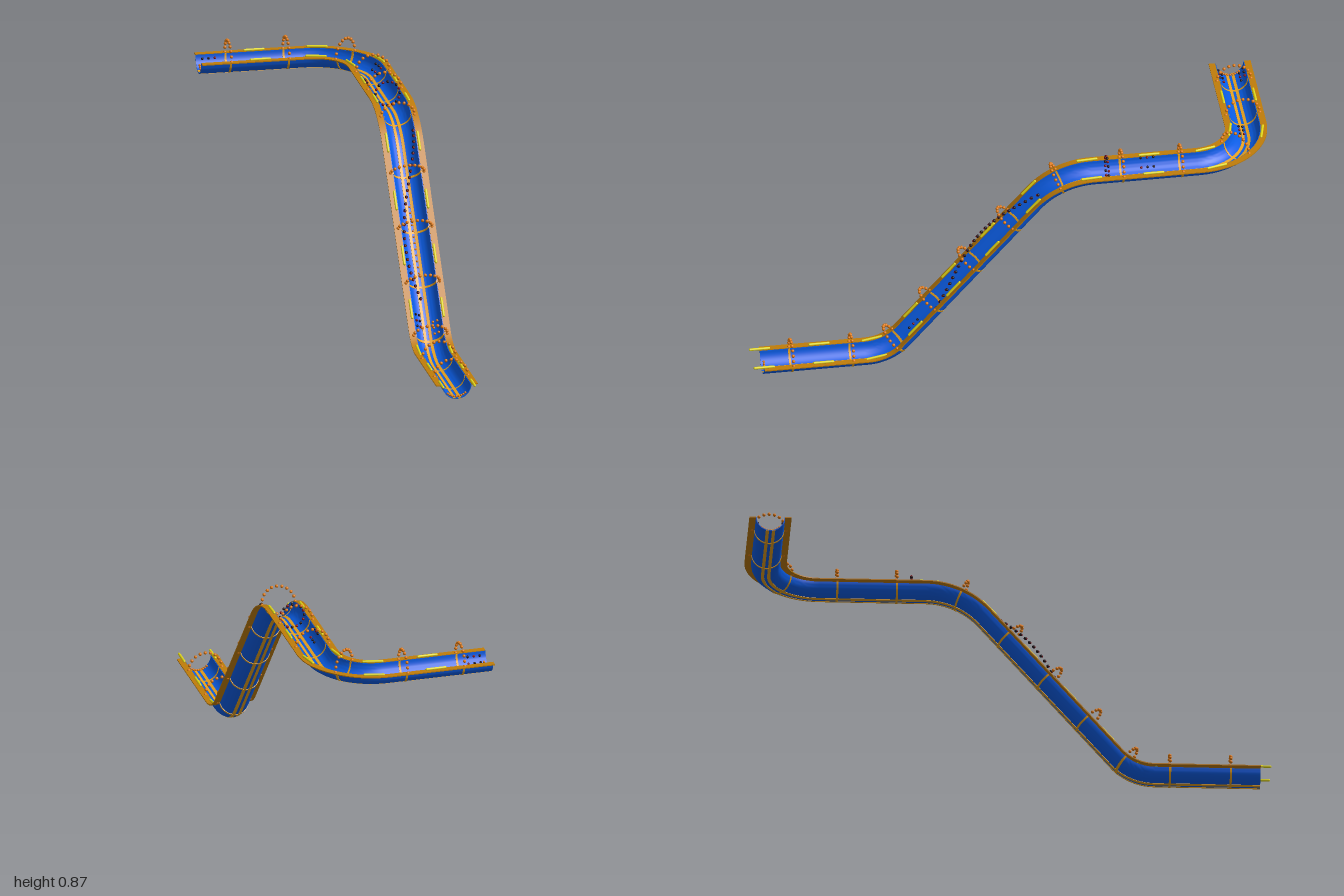
import * as THREE from 'three';
import { mergeGeometries, toCreasedNormals } from 'three/addons/utils/BufferGeometryUtils.js';

const mat = (name, color) => Object.assign(new THREE.MeshStandardMaterial({ color }), { name });
const V = (x, y, z) => new THREE.Vector3(x, y, z);

// Rim-level centre line: straight runs joined by circular bends
const CX = 0.267;
function buildPath() {
  const corners = [V(CX, 0.057, 0.96), V(CX, 0.057, 0.485), V(CX, 0.802, -0.161), V(CX, 0.802, -0.92), V(-0.349, 0.802, -0.92)];
  const trims = [0, 0.075, 0.145, 0.21, 0];
  const path = [];
  const add = (p, t) => {
    const last = path[path.length - 1];
    path.push({ p, t, s: last ? last.s + last.p.distanceTo(p) : 0 });
  };
  const dir = (i) => corners[i + 1].clone().sub(corners[i]).normalize();
  add(corners[0], dir(0));
  for (let i = 1; i < 4; i++) {
    const a = dir(i - 1), b = dir(i), angle = a.angleTo(b);
    const r = trims[i] / Math.tan(angle / 2);
    const n = b.clone().addScaledVector(a, -a.dot(b)).normalize();
    const start = corners[i].clone().addScaledVector(a, -trims[i]);
    for (let k = 0; k <= 16; k++) {
      const f = (angle * k) / 16;
      add(start.clone().addScaledVector(a, r * Math.sin(f)).addScaledVector(n, r * (1 - Math.cos(f))),
        a.clone().multiplyScalar(Math.cos(f)).addScaledVector(n, Math.sin(f)));
    }
  }
  add(corners[4], dir(3));
  return path;
}

const path = buildPath();
const L = path[path.length - 1].s;

// Frame at distance s: position, tangent, sideways and up directions
function frame(s) {
  let i = 0;
  while (i < path.length - 2 && path[i + 1].s < s) i++;
  const a = path[i], b = path[i + 1], k = (s - a.s) / (b.s - a.s);
  const p = a.p.clone().lerp(b.p, k);
  const t = a.t.clone().lerp(b.t, THREE.MathUtils.clamp(k, 0, 1)).normalize();
  const side = V(0, 1, 0).cross(t).normalize();
  return { p, t, side, up: t.clone().cross(side) };
}

function place(s, u, v) {
  const f = frame(s);
  return f.p.addScaledVector(f.side, u).addScaledVector(f.up, v);
}

// Distance along the path nearest a given x and z
function near(x, z) {
  let best = 0, d = Infinity;
  for (let s = 0; s <= L; s += 0.002) {
    const p = frame(s).p, e = Math.hypot(p.x - x, p.z - z);
    if (e < d) { d = e; best = s; }
  }
  return best;
}

// Sweep a counter-clockwise closed profile along the path, with end caps
function sweep(profile, s0, s1) {
  const stops = [s0, ...path.map((q) => q.s).filter((s) => s > s0 + 1e-5 && s < s1 - 1e-5), s1];
  const n = profile.length, pos = [], idx = [];
  for (const s of stops) for (const [u, v] of profile) pos.push(...place(s, u, v).toArray());
  for (let i = 0; i < stops.length - 1; i++) {
    for (let j = 0; j < n; j++) {
      const a = i * n + j, b = i * n + ((j + 1) % n);
      idx.push(a, b, b + n, a, b + n, a + n);
    }
  }
  const end = (stops.length - 1) * n;
  const caps = THREE.ShapeUtils.triangulateShape(profile.map(([u, v]) => new THREE.Vector2(u, v)), []);
  for (const [a, b, c] of caps) idx.push(a, c, b, end + a, end + b, end + c);
  const g = new THREE.BufferGeometry();
  g.setAttribute('position', new THREE.Float32BufferAttribute(pos, 3));
  g.setIndex(idx);
  return toCreasedNormals(g, 0.6);
}

// Band of a ring between two radii and two angles
function band(r0, r1, a0, a1, steps) {
  const arc = (r) => Array.from({ length: steps + 1 }, (_, i) => {
    const a = a0 + ((a1 - a0) * i) / steps;
    return [r * Math.cos(a), r * Math.sin(a)];
  });
  return [...arc(r1), ...arc(r0).reverse()];
}

const bead = (p, r) => new THREE.SphereGeometry(r, 10, 8).translate(p.x, p.y, p.z);

export function createModel() {
  const group = new THREE.Group();
  const blue = mat('slide blue', 0x0a5ce4);
  const bronze = mat('rim bronze', 0xc07d0a);
  const gold = mat('trim gold', 0xf0a822);
  const orange = mat('bead orange', 0xde780f);
  const yellow = mat('light yellow', 0xe4da18);
  const black = mat('bead black', 0x1c1018);
  const red = mat('bead dark red', 0x7d0f1c);
  const put = (name, geometries, material) => {
    const m = new THREE.Mesh(mergeGeometries(geometries), material);
    m.name = name;
    group.add(m);
  };

  // Half-round channel
  put('channel', [sweep(band(0.0525, 0.0555, Math.PI, 2 * Math.PI, 24), 0, L)], blue);

  // Flat flanges on both rims
  put('rimFlanges', [-1, 1].map((k) => {
    const c = k * 0.0675, h = 0.0125;
    return sweep([[c - h, -0.002], [c + h, -0.002], [c + h, 0.002], [c - h, 0.002]], 0, L);
  }), bronze);

  // Twin stripes along the floor, showing inside and outside
  put('floorStripes', [-1, 1].map((k) => {
    const a = 1.5 * Math.PI + k * 0.21;
    return sweep(band(0.0508, 0.0568, a - 0.11, a + 0.11, 3), 0, L);
  }), gold);

  // Stations of the ribs and bead arches, as x and z on the centre line
  const stations = [
    ...[0.848, 0.618, 0.452, 0.308, 0.16, 0.01, -0.172, -0.415, -0.642].map((z) => [CX, z]),
    [0.205, -0.858], [-0.01, -0.92], [-0.235, -0.92],
  ].map(([x, z]) => near(x, z));
  const ribs = [], arches = [];
  for (const s of stations) {
    ribs.push(sweep(band(0.0512, 0.0573, Math.PI, 2 * Math.PI, 24), s - 0.004, s + 0.004));
    for (let k = 0; k <= 10; k++) {
      const a = (Math.PI * k) / 10;
      arches.push(bead(place(s, 0.065 * Math.cos(a), 0.065 * Math.sin(a) + 0.001), 0.0063));
    }
  }
  put('ribs', ribs, gold);
  put('beadArches', arches, orange);

  // Capsule lights lying on the rims midway between arches
  const lights = [];
  stations.forEach((station, i) => {
    const s = i ? (stations[i - 1] + station) / 2 : 0;
    for (const k of [-1, 1]) {
      const g = new THREE.CapsuleGeometry(0.005, 0.072, 4, 8);
      g.applyQuaternion(new THREE.Quaternion().setFromUnitVectors(V(0, 1, 0), frame(s).t));
      const p = place(s, k * 0.061, 0.005);
      lights.push(g.translate(p.x, p.y, p.z));
    }
  });
  put('rimLights', lights, yellow);

  // Dark spiral trail winding down the slope
  const dark = [], reds = [], small = [];
  const top = near(CX, -0.1), low = near(CX, 0.34);
  for (let i = 0; i < 27; i++) {
    const k = i / 26, a = 0.35 + k * 4.2;
    const s = top + (low - top) * k;
    const u = -0.046 * Math.cos(a), v = 0.046 * Math.sin(a);
    dark.push(bead(place(s, u, v), 0.0062));
    reds.push(bead(place(s - 0.003, u, v + 0.002), 0.0045));
  }

  // Dark ring on the upper run
  const ringAt = near(CX, -0.36);
  for (let i = 0; i < 16; i++) {
    const a = (i * Math.PI) / 8;
    (i % 2 ? reds : dark).push(bead(place(ringAt, 0.047 * Math.cos(a), 0.047 * Math.sin(a)), 0.0055));
  }

  // Small clusters on the walls: x, z, sideways offset, bead lists used
  const mixed = [reds, dark, dark];
  const clusters = [[CX, 0.4, 0.03, mixed], [CX, 0.42, -0.033, [small]], [CX, -0.52, 0.042, mixed],
    [CX, -0.74, -0.04, mixed], [0.03, -0.92, 0.012, mixed], [-0.3, -0.92, 0.04, mixed], [-0.3, -0.92, -0.04, mixed]];
  for (const [x, z, u, lists] of clusters) {
    const s = near(x, z);
    for (let i = 0; i < 6; i++) {
      const uu = u + ((i % 2) - 0.5) * 0.014;
      const v = -Math.sqrt(Math.max(0, 0.049 ** 2 - uu * uu));
      lists[i % lists.length].push(bead(place(s + (Math.floor(i / 2) - 1) * 0.024, uu, v), 0.005));
    }
  }
  put('darkBeads', dark, black);
  put('redBeads', reds, red);

  // Bead row down the slope floor and bead lips near both ends
  const r0 = near(CX, 0.09), r1 = near(CX, 0.27);
  for (let i = 0; i < 12; i++) small.push(bead(place(r0 + ((r1 - r0) * i) / 11, 0, -0.049), 0.004));
  for (const s of [0.012, L - 0.012]) {
    for (let i = 0; i < 9; i++) {
      const a = 1.5 * Math.PI + (i - 4) * 0.19;
      small.push(bead(place(s, 0.049 * Math.cos(a), 0.049 * Math.sin(a)), 0.0045));
    }
  }
  put('floorBeads', small, orange);

  return group;
}
